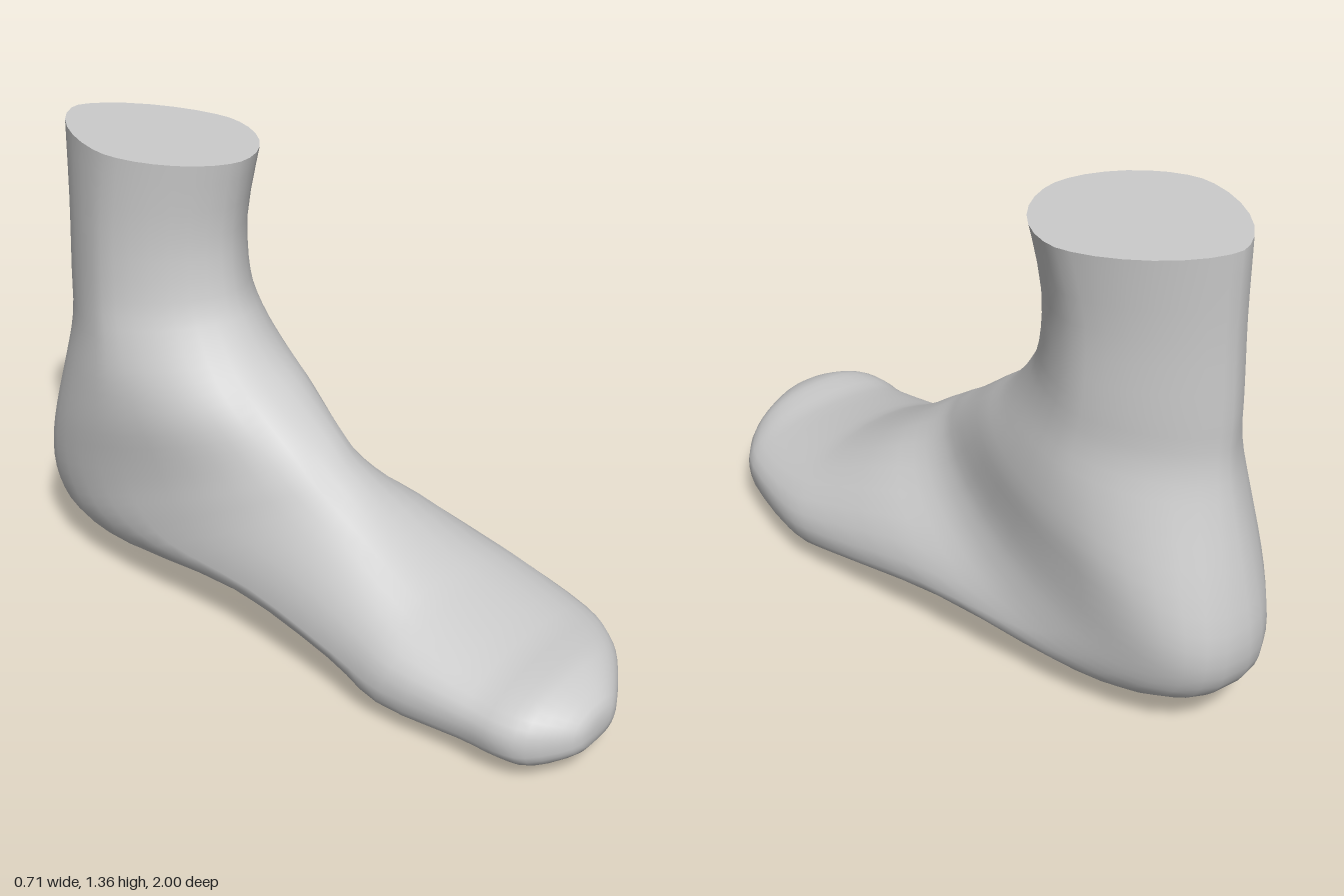
import * as THREE from 'three';

// Key cross-sections from the ankle cut, round the heel, out to the toes:
// front/top point z, y | back/bottom point z, y | inner x | outer x | ridge x | widest place (0 bottom .. 1 top)
const SECTIONS = [
  [-0.28, 1.325, -0.90, 1.355, -0.255, 0.25, -0.01, 0.56],
  [-0.31, 1.12, -0.89, 1.13, -0.255, 0.218, -0.02, 0.53],
  [-0.295, 0.95, -0.89, 0.91, -0.265, 0.217, -0.03, 0.52],
  [-0.25, 0.85, -0.89, 0.77, -0.285, 0.222, -0.03, 0.52],
  [-0.18, 0.76, -0.92, 0.63, -0.303, 0.238, -0.03, 0.52],
  [-0.09, 0.69, -0.97, 0.45, -0.305, 0.245, -0.03, 0.51],
  [0, 0.62, -1.0, 0.30, -0.292, 0.235, -0.03, 0.49],
  [0.06, 0.58, -0.98, 0.18, -0.285, 0.23, -0.04, 0.47],
  [0.11, 0.545, -0.89, 0.10, -0.285, 0.235, -0.05, 0.44],
  [0.17, 0.505, -0.68, 0.055, -0.285, 0.255, -0.05, 0.40],
  [0.27, 0.435, -0.22, 0.083, -0.292, 0.31, -0.05, 0.36],
  [0.42, 0.345, 0.20, 0.04, -0.325, 0.35, -0.05, 0.37],
  [0.52, 0.30, 0.42, 0.004, -0.355, 0.348, -0.04, 0.42],
  [0.72, 0.25, 0.70, 0.012, -0.345, 0.285, -0.05, 0.5],
  [0.82, 0.245, 0.82, 0.02, -0.35, 0.215, -0.08, 0.5],
  [0.90, 0.238, 0.90, 0.027, -0.325, 0.125, -0.11, 0.5],
  [0.983, 0.195, 0.983, 0.075, -0.235, -0.02, -0.13, 0.5],
  [1.0, 0.15, 1.0, 0.12, -0.17, -0.08, -0.125, 0.5],
];
const SIDES = 32;
const STEPS = 3;
const { smoothstep } = THREE.MathUtils;

// Smoothly blended section at place u along the key sections
function sectionAt(u) {
  const last = SECTIONS.length - 1;
  const i = Math.min(Math.floor(u), last - 1);
  const t = u - i;
  const key = (k) => SECTIONS[Math.max(0, Math.min(last, k))];
  return SECTIONS[0].map((_, c) => {
    const a = key(i - 1)[c], b = key(i)[c], d = key(i + 1)[c], e = key(i + 2)[c];
    return b + 0.5 * t * (d - a + t * (2 * a - 5 * b + 4 * d - e + t * (3 * (b - d) + e - a)));
  });
}

// Roundness of each quarter of a ring (1 is elliptical, less is blunter, more is slimmer)
function powersAt(u) {
  return {
    backOuter: 1.25 - 0.53 * smoothstep(u, 2.5, 6.5),
    // the inner sole stays rounded under the arch and flattens at the ball
    backInner: 1.25 - 0.3 * smoothstep(u, 2.5, 6.5) + 0.2 * smoothstep(u, 8, 10) - 0.4 * smoothstep(u, 10.3, 12.5),
    frontOuter: 1.12 - 0.12 * smoothstep(u, 2, 5) - 0.08 * smoothstep(u, 11, 14),
    frontInner: 1.12 - 0.25 * smoothstep(u, 2, 6),
  };
}

// Closed egg-shaped ring
function ringAt(u) {
  const [zf, yf, zb, yb, inner, outer, ridge, widest] = sectionAt(u);
  const power = powersAt(u);
  const ring = [];
  for (let j = 0; j < SIDES; j++) {
    const a = (j / SIDES) * Math.PI * 2;
    const c = Math.cos(a), s = Math.sin(a);
    const p = power[(c < 0 ? 'back' : 'front') + (s > 0 ? 'Outer' : 'Inner')];
    const side = Math.pow(Math.abs(s), p);
    const reach = Math.pow(Math.abs(c), p);
    const f = c < 0 ? widest * (1 - reach) : widest + (1 - widest) * reach;
    const x = ridge + ((s > 0 ? outer : inner) - ridge) * side;
    const slant = 0.06 * x * Math.max(0, 1 - u);
    ring.push(new THREE.Vector3(x, yb + (yf - yb) * f - slant, zb + (zf - zb) * f));
  }
  return ring;
}

function centreOf(ring) {
  return ring.reduce((sum, p) => sum.add(p), new THREE.Vector3()).divideScalar(ring.length);
}

function makeGeometry(points, index) {
  const geometry = new THREE.BufferGeometry().setFromPoints(points);
  geometry.setIndex(index);
  geometry.computeVertexNormals();
  return geometry;
}

export function createModel() {
  const group = new THREE.Group();
  group.name = 'foot';
  const skin = new THREE.MeshStandardMaterial({ color: 0xcccccc });
  skin.name = 'plain grey';

  const rings = [];
  const count = (SECTIONS.length - 1) * STEPS;
  for (let i = 0; i <= count; i++) rings.push(ringAt(i / STEPS));

  // Ankle, heel, instep and toes as one smooth skin
  const points = rings.flat();
  const index = [];
  for (let i = 0; i < count; i++) {
    for (let j = 0; j < SIDES; j++) {
      const k = (j + 1) % SIDES;
      const a = i * SIDES + j, b = i * SIDES + k;
      index.push(a, a + SIDES, b, b, a + SIDES, b + SIDES);
    }
  }
  // Closed toe tip
  const tip = points.length;
  points.push(centreOf(rings[count]));
  for (let j = 0; j < SIDES; j++) {
    index.push(tip, count * SIDES + ((j + 1) % SIDES), count * SIDES + j);
  }
  const body = new THREE.Mesh(makeGeometry(points, index), skin);
  body.name = 'footAndAnkle';
  group.add(body);

  // Flat cut across the top of the ankle
  const capIndex = [];
  for (let j = 0; j < SIDES; j++) capIndex.push(SIDES, j, (j + 1) % SIDES);
  const cap = new THREE.Mesh(makeGeometry([...rings[0], centreOf(rings[0])], capIndex), skin);
  cap.name = 'ankleTop';
  group.add(cap);

  return group;
}
